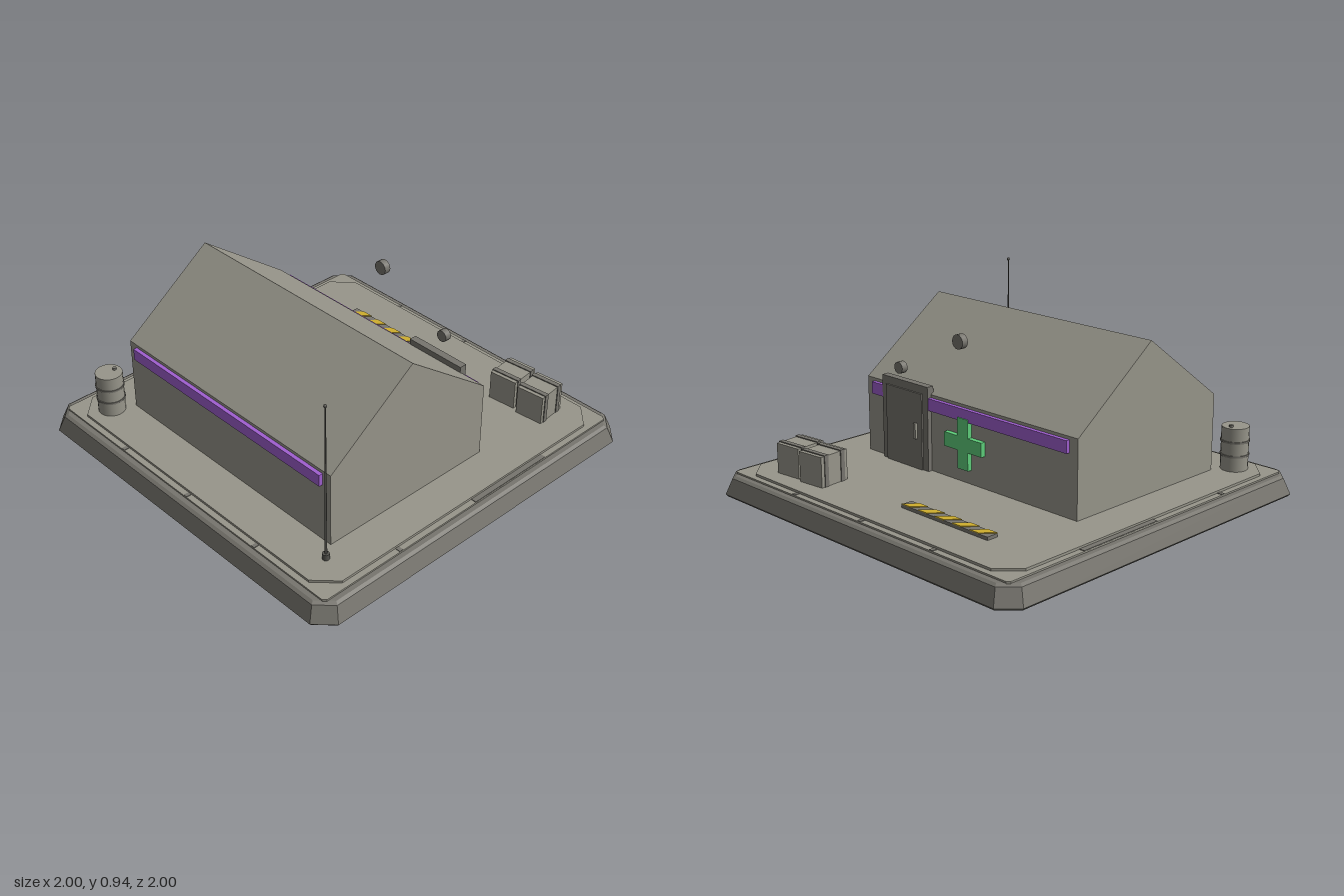
import * as THREE from 'three';

const mat = (name, color) => {
  const m = new THREE.MeshStandardMaterial({ color });
  m.name = name;
  return m;
};

// Stack of chamfered squares: each ring is [half size, corner cut, y]
function chamferedLoft(rings) {
  const loops = rings.map(([h, c, y]) => [
    [h, h - c], [h, c - h], [h - c, -h], [c - h, -h],
    [-h, c - h], [-h, h - c], [c - h, h], [h - c, h],
  ].map(([x, z]) => [x, y, z]));
  const pos = [];
  const tri = (...p) => p.forEach((v) => pos.push(...v));
  const top = loops.length - 1;
  for (let i = 0; i < 8; i++) {
    const j = (i + 1) % 8;
    for (let k = 0; k < top; k++) {
      const lo = loops[k], hi = loops[k + 1];
      tri(lo[i], lo[j], hi[j]);
      tri(lo[i], hi[j], hi[i]);
    }
    tri([0, rings[top][2], 0], loops[top][i], loops[top][j]);
    tri([0, rings[0][2], 0], loops[0][j], loops[0][i]);
  }
  const g = new THREE.BufferGeometry();
  g.setAttribute('position', new THREE.Float32BufferAttribute(pos, 3));
  g.computeVertexNormals();
  return g;
}

export function createModel() {
  const root = new THREE.Group();
  root.name = 'outpost';
  const wall = mat('wallGrey', 0x98968b);
  const dark = mat('darkGrey', 0x77756e);
  const metal = mat('metalGrey', 0x55544f);
  const purple = mat('purple', 0xa05fd0);
  const green = mat('green', 0x5fd07c);
  const yellow = mat('yellow', 0xcfae2e);

  const add = (name, geo, m, x = 0, y = 0, z = 0, parent = root) => {
    const mesh = new THREE.Mesh(geo, m);
    mesh.name = name;
    mesh.position.set(x, y, z);
    parent.add(mesh);
    return mesh;
  };
  // Box given by its minimum and maximum corners
  const box = (name, m, [x0, y0, z0], [x1, y1, z1], parent = root) =>
    add(name, new THREE.BoxGeometry(x1 - x0, y1 - y0, z1 - z0), m,
      (x0 + x1) / 2, (y0 + y1) / 2, (z0 + z1) / 2, parent);
  // Upright cylinder from y0 to y1
  const post = (name, m, r, y0, y1, x, z, sides = 20) =>
    add(name, new THREE.CylinderGeometry(r, r, y1 - y0, sides), m, x, (y0 + y1) / 2, z);

  // Ground platform
  add('platformBase', chamferedLoft([
    [0.99, 0.08, 0], [1, 0.085, 0.012], [0.97, 0.075, 0.09], [0.955, 0.07, 0.1],
  ]), dark);
  add('platformSlab', chamferedLoft([[0.93, 0.015, 0.098], [0.93, 0.015, 0.108]]), wall);
  add('platformDeck', chamferedLoft([[0.9, 0.1, 0.106], [0.9, 0.1, 0.12]]), wall);
  for (const s of [-1, 1]) {
    const a = s * 0.915;
    box('edgePlate', dark, [0, 0.1, a - 0.014], [0.48, 0.111, a + 0.014]);
    box('edgeSeam', dark, [-0.485, 0.1, a - 0.014], [-0.465, 0.111, a + 0.014]);
    for (const z of [-0.47, 0, 0.47])
      box('edgeSeam', dark, [a - 0.014, 0.1, z - 0.01], [a + 0.014, 0.111, z + 0.01]);
  }

  // Gabled building
  const gable = new THREE.Shape([
    [-0.68, 0.12], [0.275, 0.12], [0.275, 0.5], [-0.2025, 0.85], [-0.68, 0.5],
  ].map(([x, y]) => new THREE.Vector2(x, y)));
  add('building', new THREE.ExtrudeGeometry(gable, { depth: 1.4, bevelEnabled: false }), wall, 0, 0, -0.7);
  box('rightStripe', purple, [-0.7, 0.425, -0.65], [-0.675, 0.485, 0.65]);
  box('leftStripe', purple, [0.27, 0.425, -0.65], [0.295, 0.485, 0.65]);

  // Door
  box('doorFrame', dark, [0.26, 0.12, 0.24], [0.298, 0.54, 0.565]);
  box('doorPanel', dark, [0.28, 0.12, 0.275], [0.306, 0.5, 0.53]);
  box('doorHandle', wall, [0.306, 0.272, 0.306], [0.32, 0.35, 0.322]);

  // Cross sign
  const w = 0.035, l = 0.125;
  const cross = new THREE.Shape([
    [w, l], [-w, l], [-w, w], [-l, w], [-l, -w], [-w, -w],
    [-w, -l], [w, -l], [w, -w], [l, -w], [l, w], [w, w],
  ].map(([x, y]) => new THREE.Vector2(x, y)));
  add('crossSign', new THREE.ExtrudeGeometry(cross, { depth: 0.03, bevelEnabled: false }),
    green, 0.27, 0.315, 0).rotation.y = Math.PI / 2;

  // Round lamps
  for (const [r, x, y, z] of [[0.035, 0.309, 0.81, 0], [0.029, 0.32, 0.612, 0.4]])
    add('lamp', new THREE.CylinderGeometry(r, r, 0.033, 16), dark, x, y, z).rotation.z = Math.PI / 2;

  // Antenna
  post('antennaFoot', metal, 0.017, 0.12, 0.15, -0.755, 0.75, 10);
  add('antennaMast', new THREE.CylinderGeometry(0.003, 0.006, 0.78, 8), metal, -0.755, 0.54, 0.75);
  add('antennaTip', new THREE.SphereGeometry(0.008, 10, 8), metal, -0.755, 0.93, 0.75);

  // Barrel
  post('barrel', wall, 0.067, 0.12, 0.335, -0.78, -0.76);
  for (const y of [0.195, 0.265]) post('barrelBand', dark, 0.071, y - 0.005, y + 0.005, -0.78, -0.76);
  post('barrelCap', dark, 0.01, 0.335, 0.345, -0.745, -0.76, 10);

  // Strapped crates
  for (const z of [0.5, 0.673]) {
    const crate = new THREE.Group();
    crate.name = 'crate';
    crate.position.set(0.726, 0, z);
    crate.rotation.y = 0.1;
    root.add(crate);
    box('crateBody', wall, [-0.083, 0.12, -0.073], [0.083, 0.27, 0.073], crate);
    for (const x of [-0.052, 0.052])
      box('crateStrap', dark, [x - 0.012, 0.12, -0.077], [x + 0.012, 0.275, 0.077], crate);
  }

  // Hazard strip with slanted stripes
  box('hazardStrip', dark, [0.645, 0.12, -0.58], [0.705, 0.136, -0.03]);
  for (let i = 0; i < 5; i++) {
    const z = -0.58 + i * 0.11;
    // shape y maps to -z after laying flat
    const stripe = new THREE.Shape([
      [0.645, -z], [0.645, -z - 0.055], [0.705, -z - 0.11], [0.705, -z - 0.055],
    ].map(([x, y]) => new THREE.Vector2(x, y)));
    add('hazardStripe', new THREE.ExtrudeGeometry(stripe, { depth: 0.005, bevelEnabled: false }),
      yellow, 0, 0.135, 0).rotation.x = -Math.PI / 2;
  }
  return root;
}
